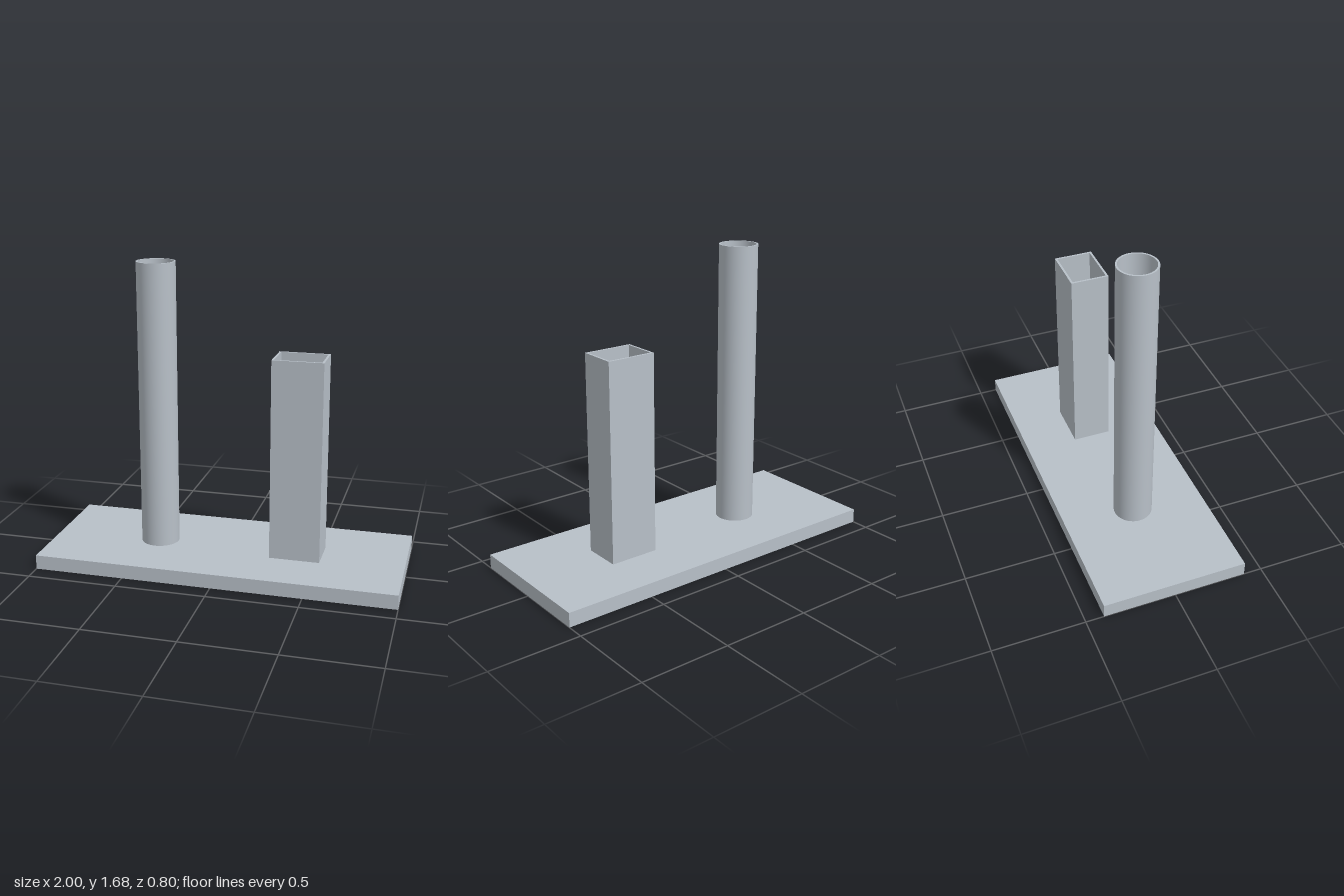
import * as THREE from 'three';

const BASE_TOP = 0.08;

export function createModel() {
  const model = new THREE.Group();
  model.name = 'tubeStand';
  const steel = new THREE.MeshStandardMaterial({ color: 0xb8c0c8, side: THREE.DoubleSide });
  steel.name = 'steel grey';

  const add = (parent, name, geometry, x, y, z) => {
    const mesh = new THREE.Mesh(geometry, steel);
    mesh.name = name;
    mesh.position.set(x, y, z);
    parent.add(mesh);
    return mesh;
  };

  // Flat base plate
  add(model, 'basePlate', new THREE.BoxGeometry(2, BASE_TOP, 0.8), 0, BASE_TOP / 2, 0);

  // Thin-walled round tube, open at the top
  const roundTube = new THREE.Group();
  roundTube.name = 'roundTube';
  roundTube.position.set(-0.4, BASE_TOP, 0);
  model.add(roundTube);
  const outer = 0.107, inner = 0.097, height = 1.6;
  for (const [name, r] of [['outerWall', outer], ['innerWall', inner]]) {
    add(roundTube, name, new THREE.CylinderGeometry(r, r, height, 64, 1, true), 0, height / 2, 0);
  }
  add(roundTube, 'rim', new THREE.RingGeometry(inner, outer, 64), 0, height, 0).rotation.x = -Math.PI / 2;

  // Ball resting at the bottom of the round tube
  add(roundTube, 'ball', new THREE.SphereGeometry(0.095, 48, 32), 0, 0.095, 0);

  // Thin-walled rectangular tube, open at the top
  const rectangle = (w, d, PathType) => new PathType([
    new THREE.Vector2(-w / 2, -d / 2), new THREE.Vector2(w / 2, -d / 2),
    new THREE.Vector2(w / 2, d / 2), new THREE.Vector2(-w / 2, d / 2),
  ]);
  const section = rectangle(0.28, 0.216, THREE.Shape);
  section.holes.push(rectangle(0.256, 0.192, THREE.Path));
  const square = new THREE.ExtrudeGeometry(section, { depth: 1.12, bevelEnabled: false });
  square.rotateX(-Math.PI / 2);
  add(model, 'rectangularTube', square, 0.4, BASE_TOP, 0);

  return model;
}
